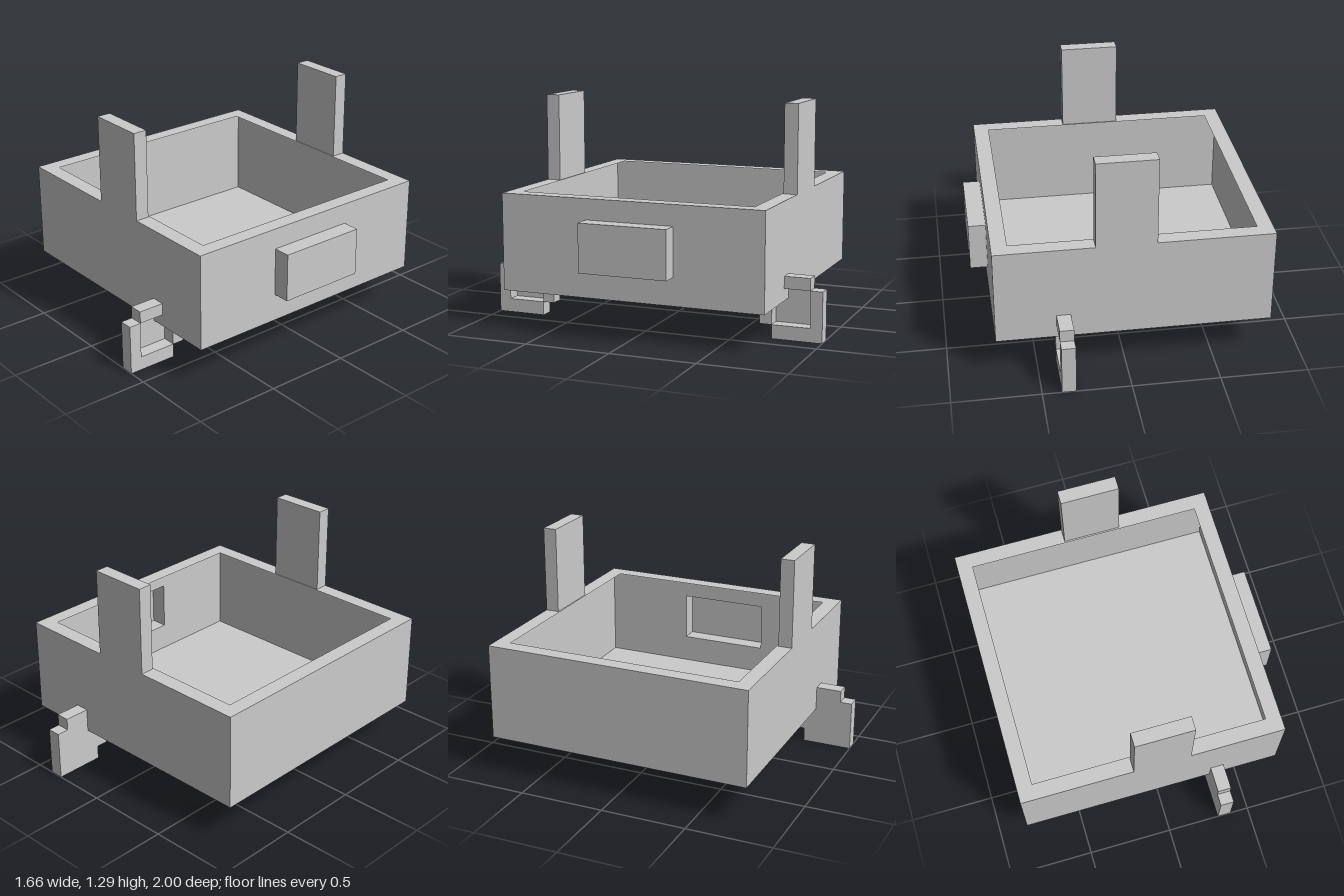
import * as THREE from 'three';

const material = new THREE.MeshStandardMaterial({ color: 0xcccccc, side: THREE.DoubleSide });

// Box face order used by BoxGeometry
const FACE = { right: 0, left: 1, top: 2, bottom: 3, front: 4, back: 5 };

function addMesh(parent, name, geometry) {
  const mesh = new THREE.Mesh(geometry, material);
  mesh.name = name;
  parent.add(mesh);
  return mesh;
}

// Box given by its limits on each axis, with any listed faces left open
function box([x0, x1], [y0, y1], [z0, z1], open = []) {
  const g = new THREE.BoxGeometry(x1 - x0, y1 - y0, z1 - z0);
  const skip = open.map((f) => FACE[f]);
  g.setIndex([...g.index.array].filter((_, i) => !skip.includes(Math.floor(i / 6))));
  g.clearGroups();
  return g.translate((x0 + x1) / 2, (y0 + y1) / 2, (z0 + z1) / 2);
}

const corners = ([a0, a1], [b0, b1]) =>
  [[a0, b0], [a1, b0], [a1, b1], [a0, b1]].map(([a, b]) => new THREE.Vector2(a, b));

// Flat rectangle with a rectangular hole
function frame(outer, inner) {
  const shape = new THREE.Shape(corners(...outer));
  shape.holes.push(new THREE.Path(corners(...inner)));
  return new THREE.ShapeGeometry(shape);
}

// Hook under the tray; side is +1 at the front, -1 at the back
function makeHook(side) {
  const hook = new THREE.Group();
  hook.name = side > 0 ? 'frontHook' : 'backHook';
  const x = [0.31, 0.39];
  const span = (a, b) => (side > 0 ? [a, b] : [-b, -a]);

  addMesh(hook, 'outerUpright', box(x, [0, 0.29], span(0.93, 1)));
  addMesh(hook, 'bottomBar', box(x, [0, 0.08], span(0.71, 0.93)));
  addMesh(hook, 'topBar', box(x, [0.29, 0.36], span(0.78, 0.93)));
  addMesh(hook, 'innerUpright', box(x, [0.08, 0.22], span(0.64, 0.71)));

  // Thin web closing the recess on its right-hand side
  const web = [[0.71, 0.08], [0.93, 0.08], [0.93, 0.29], [0.78, 0.29], [0.78, 0.22], [0.71, 0.22]];
  const shape = new THREE.Shape(web.map(([z, y]) => new THREE.Vector2(z * side, y)));
  addMesh(hook, 'web', new THREE.ShapeGeometry(shape).rotateY(-Math.PI / 2).translate(x[0], 0, 0));
  return hook;
}

export function createModel() {
  const model = new THREE.Group();
  model.name = 'tray';
  const X = [-0.83, 0.73], Y = [0.22, 0.78], Z = [-0.78, 0.78];
  const padY = [0.38, 0.66], padZ = [-0.26, 0.26];

  // Thin-walled tray with a flat inward rim
  addMesh(model, 'trayShell', box(X, Y, Z, ['top', 'right']));
  addMesh(model, 'rim', frame([X, Z], [[-0.74, 0.64], [-0.69, 0.69]])
    .rotateX(-Math.PI / 2).translate(0, Y[1], 0));

  // Side wall opening into a raised pad
  addMesh(model, 'sideWall', frame([Z, Y], [padZ, padY])
    .rotateY(Math.PI / 2).translate(X[1], 0, 0));
  addMesh(model, 'sidePad', box([0.73, 0.83], padY, padZ, ['left']));

  // Upright tabs and hooks, front and back
  for (const side of [1, -1]) {
    const z = side > 0 ? [0.7, 0.78] : [-0.78, -0.7];
    addMesh(model, side > 0 ? 'frontTab' : 'backTab', box([-0.17, 0.17], [0.78, 1.29], z, ['bottom']));
    model.add(makeHook(side));
  }
  return model;
}
